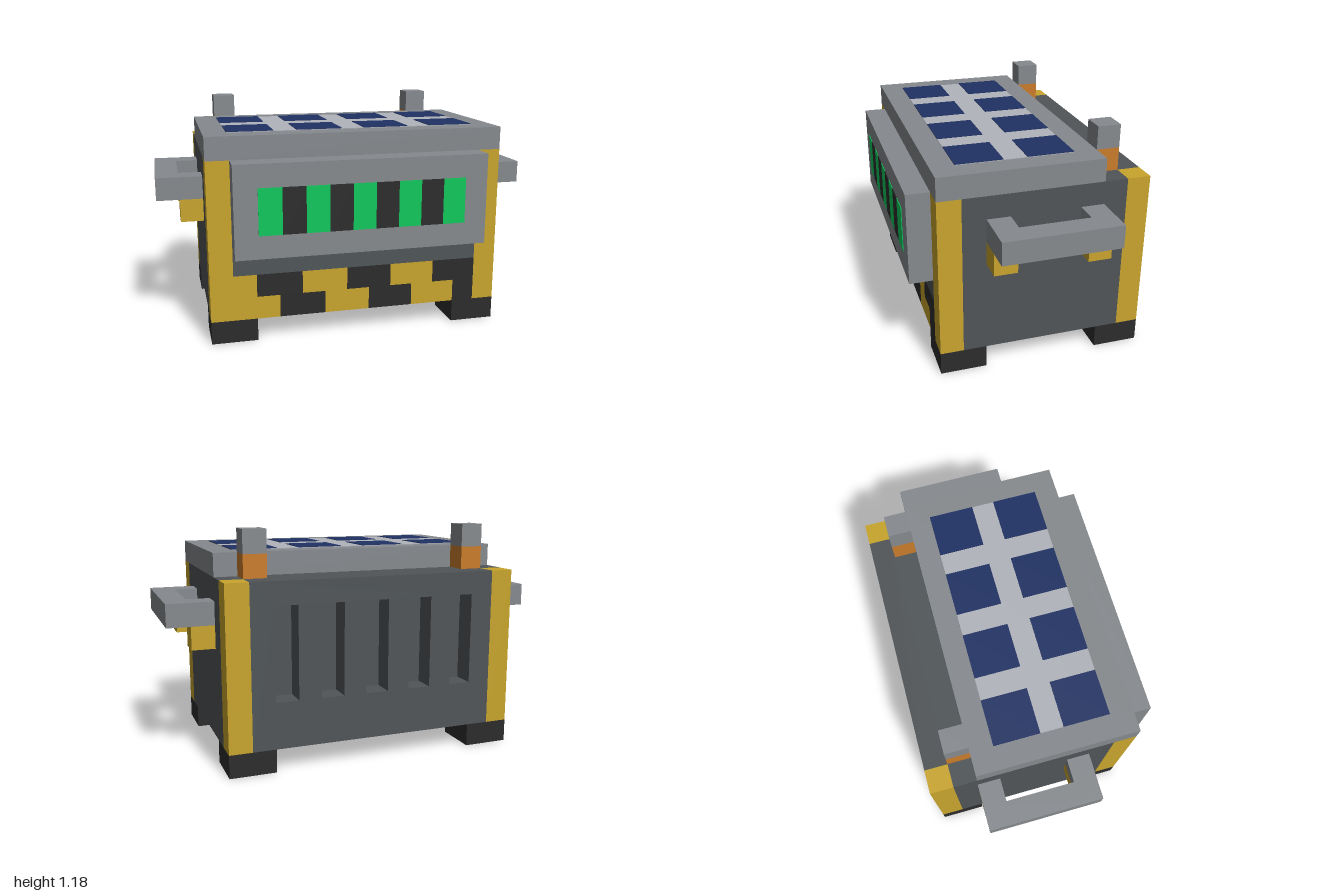
import * as THREE from 'three';

const U = 2 / 17; // one block of the grid that every part snaps to

const paint = (name, color) => {
  const m = new THREE.MeshStandardMaterial({ color });
  m.name = name;
  return m;
};

export function createModel() {
  const yellow = paint('yellow', 0xc9a52d);
  const grey = paint('midGrey', 0x868a8e);
  const dark = paint('darkGrey', 0x505558);
  const black = paint('black', 0x2c2c2c);
  const green = paint('green', 0x0dc95c);
  const blue = paint('blue', 0x203264);
  const silver = paint('silver', 0xb2b4bc);
  const orange = paint('orange', 0xca7c2a);

  const model = new THREE.Group();
  model.name = 'generator';

  // Box between two corners, given in blocks
  const box = (name, mat, x0, x1, y0, y1, z0, z1) => {
    const g = new THREE.BoxGeometry((x1 - x0) * U, (y1 - y0) * U, (z1 - z0) * U);
    const mesh = new THREE.Mesh(g, mat);
    mesh.name = name;
    mesh.position.set((x0 + x1) / 2 * U, (y0 + y1) / 2 * U, (z0 + z1) / 2 * U);
    model.add(mesh);
  };
  // The same box on the left and the right
  const pair = (name, mat, x0, x1, ...rest) => {
    box(name + 'Left', mat, x0, x1, ...rest);
    box(name + 'Right', mat, -x1, -x0, ...rest);
  };

  // Body core and upper front wall
  box('body', dark, -6.5, 6.5, 1, 8, -4, 3);
  box('frontWall', dark, -5.5, 5.5, 3, 8, 3, 4);

  // Back wall with five vent slots
  const rect = (P, x0, x1, y0, y1) => {
    const p = new P();
    p.moveTo(x0 * U, y0 * U).lineTo(x1 * U, y0 * U).lineTo(x1 * U, y1 * U).lineTo(x0 * U, y1 * U).closePath();
    return p;
  };
  const wall = rect(THREE.Shape, -5.5, 5.5, 1, 8);
  for (let x = -4.5; x < 4.5; x += 2) wall.holes.push(rect(THREE.Path, x, x + 1, 3, 7));
  const backWall = new THREE.Mesh(new THREE.ExtrudeGeometry(wall, { depth: U, bevelEnabled: false }), dark);
  backWall.name = 'ventedBackWall';
  backWall.position.z = -5 * U;
  model.add(backWall);

  // Corner posts and feet
  pair('frontPost', yellow, 5.5, 6.5, 1, 8, 3, 4);
  pair('backPost', yellow, 5.5, 6.5, 1, 8, -5, -4);
  pair('frontFoot', black, 4.5, 6.5, 0, 1, 2, 4);
  pair('backFoot', black, 4.5, 6.5, 0, 1, -5, -3);

  // Hazard stripes: two staggered rows of blocks
  const stripes = (y, edges) => {
    for (let i = 0; i < edges.length - 1; i++) {
      box('hazardStripe', i % 2 ? black : yellow, edges[i], edges[i + 1], y, y + 1, 3, 4);
    }
  };
  stripes(2, [-5.5, -4.5, -2.5, -0.5, 1.5, 3.5, 5.5]);
  stripes(1, [-5.5, -3.5, -1.5, 0.5, 2.5, 4.5, 5.5]);

  // Front panel with a charge display
  box('displayPanel', grey, -5.5, 5.5, 4, 8, 4, 5);
  for (let i = 0; i < 9; i++) {
    box('displayBar', i % 2 ? black : green, i - 4.5, i - 3.5, 5, 7, 5, 5.03);
  }

  // Lid with a solar panel of eight cells
  box('lid', grey, -6.5, 6.5, 8, 9, -3, 4);
  box('solarFrame', silver, -5.5, 5.5, 9, 9.025, -2, 3);
  for (let x = -5.5; x < 5; x += 3) {
    for (const z of [-2, 1]) box('solarCell', blue, x, x + 2, 9.025, 9.05, z, z + 2);
  }

  // Terminals behind the lid
  pair('terminalBase', orange, 4.5, 5.5, 8, 9, -4, -3);
  pair('terminalCap', grey, 4.5, 5.5, 9, 10, -4, -3);

  // Side handles on brackets
  pair('handleGrip', grey, 7.5, 8.5, 6, 7, -3, 2);
  for (const z of [-3, 1]) {
    pair('handleArm', grey, 6.5, 7.5, 6, 7, z, z + 1);
    pair('handleBracket', yellow, 6.5, 7.5, 5, 6, z, z + 1);
  }

  return model;
}
